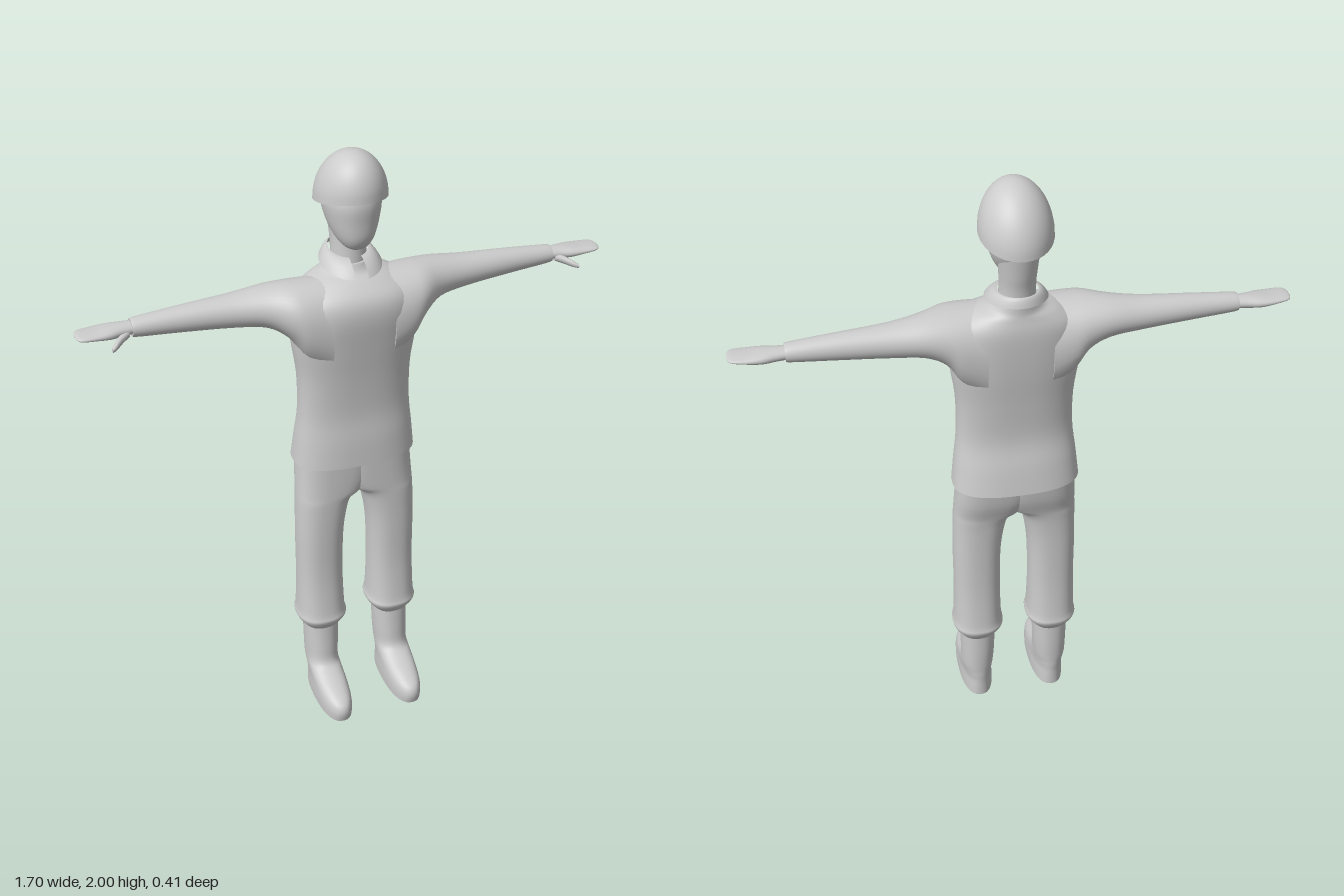
import * as THREE from 'three';
import { ParametricGeometry } from 'three/addons/geometries/ParametricGeometry.js';

const material = new THREE.MeshStandardMaterial({ color: 0xcccccc });
const clothMaterial = new THREE.MeshStandardMaterial({ color: 0xcccccc, side: THREE.DoubleSide });

// Smooth blend of the ring parameters: three in-between rings per step.
function smoothRings(rings, steps = 4) {
  const out = [];
  const at = (i) => rings[Math.max(0, Math.min(rings.length - 1, i))];
  for (let i = 0; i < rings.length - 1; i++) {
    for (let s = 0; s < steps; s++) {
      const t = s / steps;
      out.push(rings[i].map((p1, k) => {
        const p0 = at(i - 1)[k], p2 = at(i + 1)[k], p3 = at(i + 2)[k];
        return p1 + 0.5 * t * (p2 - p0 + t * (2 * p0 - 5 * p1 + 4 * p2 - p3 + t * (3 * (p1 - p2) + p3 - p0)));
      }));
    }
  }
  out.push(rings[rings.length - 1]);
  return out;
}

// Capped loft through rounded rings [t, a0, a1, b0, b1, power].
// axis 'y': t = y, a = x, b = z.  axis 'x': t = x, a = y, b = z.
// side = -1 mirrors in x; tilt leans a ring's plane (7th ring value).
function loft(name, rings, { axis = 'y', side = 1, segments = 36 } = {}) {
  const pos = [], index = [];
  const flip = (axis === 'y') !== (side < 0);
  const tri = (a, b, c) => (flip ? index.push(a, c, b) : index.push(a, b, c));
  const loops = smoothRings(rings).map(([t, a0, a1, b0, b1, power = 2, tilt = 0]) => {
    const loop = [];
    for (let j = 0; j < segments; j++) {
      const angle = (j / segments) * Math.PI * 2;
      const round = (v) => Math.sign(v) * Math.pow(Math.abs(v), 2 / power);
      const u = round(Math.cos(angle)), v = round(Math.sin(angle));
      const a = (a0 + a1) / 2 + u * (a1 - a0) / 2;
      const b = (b0 + b1) / 2 + v * (b1 - b0) / 2;
      const h = t + tilt * v;
      loop.push(axis === 'y' ? [a * side, h, b] : [h * side, a, b]);
    }
    return loop;
  });
  loops.forEach((loop) => loop.forEach((p) => pos.push(...p)));
  for (let i = 0; i < loops.length - 1; i++) {
    for (let j = 0; j < segments; j++) {
      const k = (j + 1) % segments;
      const a = i * segments + j, b = i * segments + k;
      tri(a, b, a + segments);
      tri(b, b + segments, a + segments);
    }
  }
  // end caps with their own vertices keep the rims crisp
  [loops[0], loops[loops.length - 1]].forEach((loop, end) => {
    const base = pos.length / 3;
    const centre = [0, 1, 2].map((k) => loop.reduce((sum, p) => sum + p[k], 0) / segments);
    loop.forEach((p) => pos.push(...p));
    pos.push(...centre);
    for (let j = 0; j < segments; j++) {
      const a = base + j, b = base + ((j + 1) % segments);
      if (end) tri(a, b, base + segments);
      else tri(b, a, base + segments);
    }
  });
  const geometry = new THREE.BufferGeometry();
  geometry.setAttribute('position', new THREE.Float32BufferAttribute(pos, 3));
  geometry.setIndex(index);
  geometry.computeVertexNormals();
  const mesh = new THREE.Mesh(geometry, material);
  mesh.name = name;
  return mesh;
}

// Ring that is symmetric in x.
const ring = (y, half, z0, z1, power = 2, tilt = 0) => [y, -half, half, z0, z1, power, tilt];

// Folded collar, open at the front.
function makeCollar() {
  const geometry = new ParametricGeometry((u, v, target) => {
    const gap = 0.32 - 0.1 * v;
    const phi = gap + u * (Math.PI * 2 - 2 * gap);
    const rx = 0.06 + 0.035 * v, rz = 0.07 + 0.04 * v;
    const z = -0.1 + 0.025 * v + rz * Math.cos(phi);
    const top = 1.677 - 0.13 * (z + 0.1);
    const bottom = 1.64 - 0.16 * (z + 0.075);
    target.set(rx * Math.sin(phi), top + (bottom - top) * v * v, z);
  }, 40, 5);
  const collar = new THREE.Mesh(geometry, clothMaterial);
  collar.name = 'collar';
  return collar;
}

export function createModel() {
  const model = new THREE.Group();
  model.name = 'figure';

  // sweater body
  model.add(loft('sweater', [
    ring(0.96, 0.205, -0.178, 0.05, 2.6),
    ring(1.05, 0.196, -0.163, 0.046, 2.5),
    ring(1.15, 0.185, -0.143, 0.038, 2.5),
    ring(1.28, 0.185, -0.15, 0.046, 2.5),
    ring(1.4, 0.2, -0.163, 0.06, 2.5),
    ring(1.5, 0.205, -0.17, 0.07, 2.5),
    ring(1.56, 0.19, -0.17, 0.058, 2.4),
    ring(1.6, 0.135, -0.163, 0.018, 2.2),
    ring(1.62, 0.085, -0.16, -0.015, 2),
    ring(1.645, 0.064, -0.16, -0.03, 2),
  ], { segments: 48 }));
  model.add(makeCollar());

  // neck and head
  model.add(loft('neck', [
    ring(1.58, 0.06, -0.145, -0.03),
    ring(1.68, 0.055, -0.148, -0.04),
    ring(1.74, 0.057, -0.158, -0.045),
    ring(1.82, 0.065, -0.17, -0.05),
  ]));
  model.add(loft('head', [
    ring(1.707, 0.024, -0.055, 0.0, 2.2),
    ring(1.72, 0.043, -0.085, 0.016, 2.2),
    ring(1.75, 0.063, -0.13, 0.03, 2.2),
    ring(1.8, 0.08, -0.165, 0.035, 2.2),
    ring(1.86, 0.087, -0.18, 0.038, 2.2),
    ring(1.92, 0.07, -0.16, 0.02, 2),
  ]));

  // domed cap, rim tilted down at the back
  const capRings = [];
  for (let i = 0; i <= 8; i++) {
    const angle = (i / 8) * Math.PI / 2;
    const r = Math.max(Math.cos(angle), 0.005);
    capRings.push(ring(1.85 + 0.15 * Math.sin(angle), 0.11 * r, -0.07 - 0.134 * r, -0.07 + 0.13 * r, 2, 0.028 * r));
  }
  model.add(loft('cap', capRings));

  for (const side of [1, -1]) {
    const label = side > 0 ? 'left' : 'right';

    // sleeve flaring into the shoulder
    model.add(loft(label + 'Sleeve', [
      [0.1, 1.3, 1.607, -0.165, 0.062, 2.2],
      [0.17, 1.36, 1.607, -0.165, 0.058, 2.2],
      [0.215, 1.43, 1.606, -0.158, 0.042, 2.1],
      [0.28, 1.47, 1.6, -0.15, 0.002, 2],
      [0.38, 1.483, 1.588, -0.137, -0.025, 2],
      [0.53, 1.495, 1.578, -0.125, -0.042, 2],
      [0.66, 1.505, 1.567, -0.117, -0.051, 2],
      [0.685, 1.509, 1.563, -0.115, -0.053, 2],
    ], { axis: 'x', side }));

    // mitten-like hand and thumb
    model.add(loft(label + 'Hand', [
      [0.66, 1.518, 1.556, -0.11, -0.06, 2],
      [0.71, 1.517, 1.556, -0.116, -0.055, 2],
      [0.75, 1.518, 1.554, -0.124, -0.045, 2.2],
      [0.79, 1.525, 1.55, -0.124, -0.042, 2.3],
      [0.83, 1.531, 1.548, -0.118, -0.042, 2.3],
      [0.846, 1.535, 1.546, -0.11, -0.05, 2.2],
      [0.852, 1.539, 1.543, -0.095, -0.065, 2],
    ], { axis: 'x', side, segments: 24 }));
    model.add(loft(label + 'Thumb', [
      [0.695, 1.515, 1.542, -0.085, -0.055, 2],
      [0.72, 1.508, 1.535, -0.07, -0.037, 2],
      [0.742, 1.503, 1.525, -0.045, -0.016, 2],
      [0.757, 1.502, 1.516, -0.024, -0.008, 2],
    ], { axis: 'x', side, segments: 16 }));

    // trouser leg; the upper rings cross the middle to join the pair
    model.add(loft(label + 'TrouserLeg', [
      [0.285, 0.068, 0.19, -0.112, 0.022, 2.3],
      [0.325, 0.042, 0.214, -0.135, 0.046, 2.4],
      [0.36, 0.047, 0.21, -0.13, 0.04, 2.4],
      [0.5, 0.05, 0.206, -0.12, 0.027, 2.4],
      [0.66, 0.046, 0.206, -0.118, 0.026, 2.4],
      [0.76, 0.032, 0.204, -0.12, 0.026, 2.4],
      [0.81, 0.014, 0.202, -0.124, 0.026, 2.5],
      [0.84, -0.03, 0.2, -0.13, 0.026, 2.6],
      [0.9, -0.06, 0.196, -0.148, 0.026, 2.7],
      [0.98, -0.07, 0.19, -0.16, 0.026, 2.8],
    ], { side }));

    // boot with a forward-reaching foot
    model.add(loft(label + 'Boot', [
      [0, 0.073, 0.186, -0.106, 0.196, 2.4],
      [0.035, 0.072, 0.187, -0.106, 0.202, 2.3],
      [0.065, 0.073, 0.186, -0.106, 0.188, 2.2],
      [0.09, 0.074, 0.186, -0.107, 0.135, 2.2],
      [0.11, 0.075, 0.186, -0.107, 0.08, 2.2],
      [0.135, 0.075, 0.186, -0.108, 0.038, 2.2],
      [0.2, 0.071, 0.187, -0.11, 0.028, 2.2],
      [0.3, 0.068, 0.188, -0.11, 0.02, 2.2],
    ], { side }));
  }
  return model;
}
